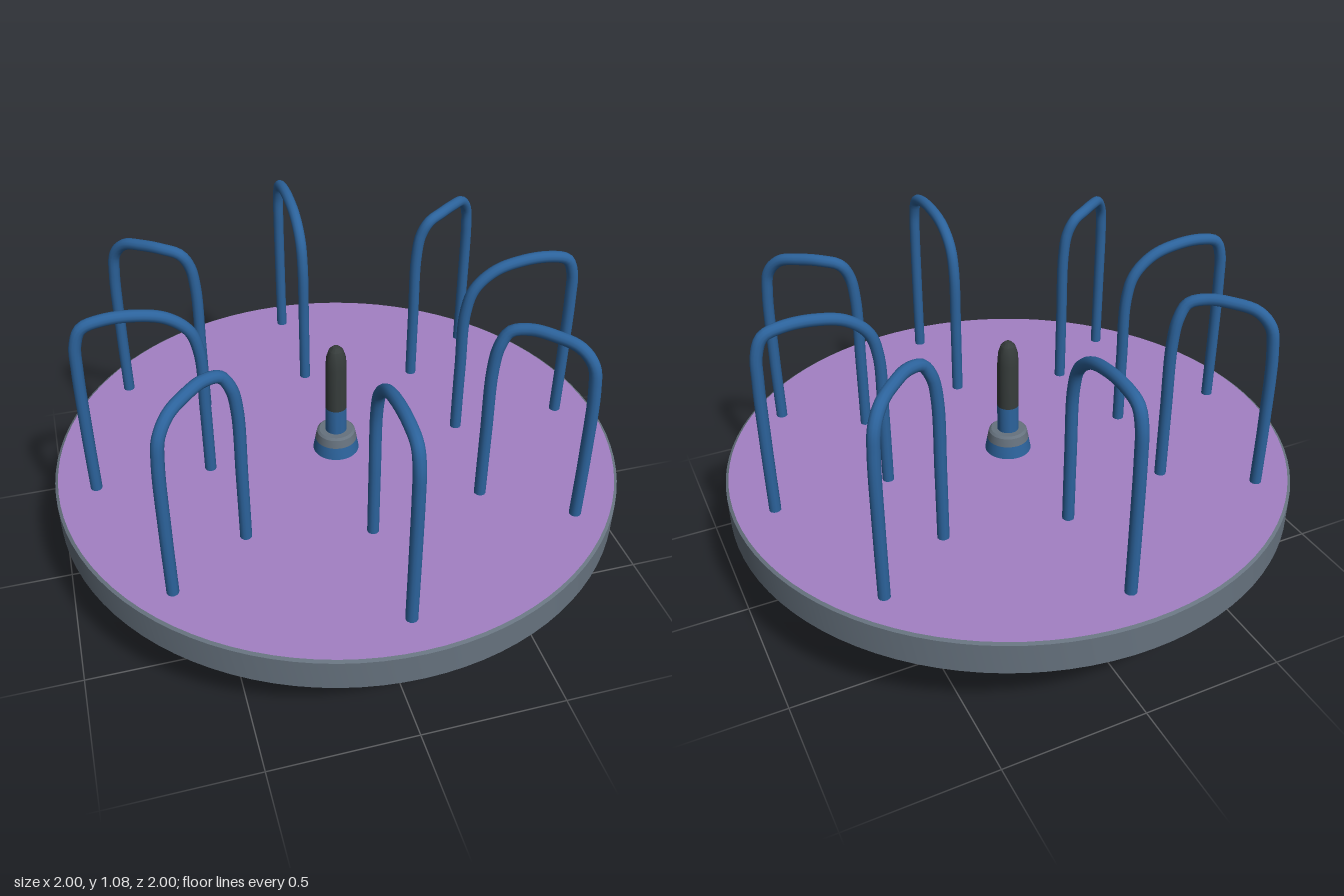
import * as THREE from 'three';
import { toCreasedNormals } from 'three/addons/utils/BufferGeometryUtils.js';

const material = (name, color) => {
  const m = new THREE.MeshStandardMaterial({ color });
  m.name = name;
  return m;
};

export function createModel() {
  const purple = material('purple deck', 0xa380c4);
  const grey = material('grey steel', 0x66727e);
  const dark = material('dark rubber', 0x363c3b);
  const blue = material('blue paint', 0x2c639c);

  const model = new THREE.Group();
  model.name = 'merryGoRound';

  const add = (name, geometry, mat, parent = model) => {
    const mesh = new THREE.Mesh(geometry, mat);
    mesh.name = name;
    parent.add(mesh);
    return mesh;
  };

  // Turned part from [radius, height] pairs, with sharp edges kept
  const turned = (name, profile, mat, sides = 96) => {
    const points = profile.map(([r, y]) => new THREE.Vector2(r, y));
    return add(name, toCreasedNormals(new THREE.LatheGeometry(points, sides), 0.5), mat);
  };

  // Drum base with a round recess below, flaring to the underside of the deck
  turned('base', [
    [0, 0.2], [0.165, 0.2], [0.165, 0.03], [0.19, 0], [0.73, 0], [0.742, 0.03],
    [0.762, 0.1], [0.778, 0.18], [0.788, 0.27], [0.99, 0.27],
  ], dark);

  // Round platform
  turned('deckRim', [[0.99, 0.27], [1, 0.275], [1, 0.384], [0.99, 0.39]], grey);
  turned('deck', [[0.99, 0.39], [0, 0.39]], purple);

  // Centre post on a tapered collar
  turned('collar', [[0.082, 0.39], [0.074, 0.435]], blue, 32);
  turned('collarTop', [[0.074, 0.435], [0.068, 0.465], [0.06, 0.472], [0.035, 0.472]], grey, 32);
  turned('postSleeve', [[0.038, 0.465], [0.038, 0.57]], blue, 32);
  turned('post', [
    [0.038, 0.57], [0.037, 0.74], [0.034, 0.78], [0.025, 0.808], [0.012, 0.821], [0, 0.824],
  ], dark, 32);

  // Bent-pipe handles from [x, y, z] points
  const pipe = (points) => {
    const curve = new THREE.CatmullRomCurve3(points.map((p) => new THREE.Vector3(...p)));
    return new THREE.TubeGeometry(curve, 96, 0.02, 12);
  };

  // Radial handles: tight outer bend, sloping inner bend
  const radial = pipe([
    [0.46, 0.38, 0], [0.46, 0.65, 0], [0.463, 0.88, 0], [0.49, 0.97, 0], [0.56, 1.03, 0],
    [0.66, 1.055, 0], [0.76, 1.055, 0], [0.825, 1.035, 0], [0.85, 0.98, 0],
    [0.857, 0.88, 0], [0.86, 0.65, 0], [0.86, 0.38, 0],
  ]);
  for (let i = 0; i < 4; i++) {
    add('radialHandle', radial, blue).rotation.y = (i * Math.PI) / 2;
  }

  // Corner handles: kinked in plan, mirrored left/right and front/back
  const corner = [
    [0.41, 0.38, 0.375], [0.41, 0.65, 0.375], [0.411, 0.9, 0.375], [0.425, 0.99, 0.376],
    [0.455, 1.04, 0.378], [0.51, 1.055, 0.405], [0.57, 1.052, 0.455], [0.63, 1.035, 0.512],
    [0.665, 0.985, 0.545], [0.676, 0.9, 0.555], [0.68, 0.65, 0.56], [0.68, 0.38, 0.56],
  ];
  for (const sx of [1, -1]) {
    for (const sz of [1, -1]) {
      add('cornerHandle', pipe(corner.map(([x, y, z]) => [sx * x, y, sz * z])), blue);
    }
  }

  return model;
}
